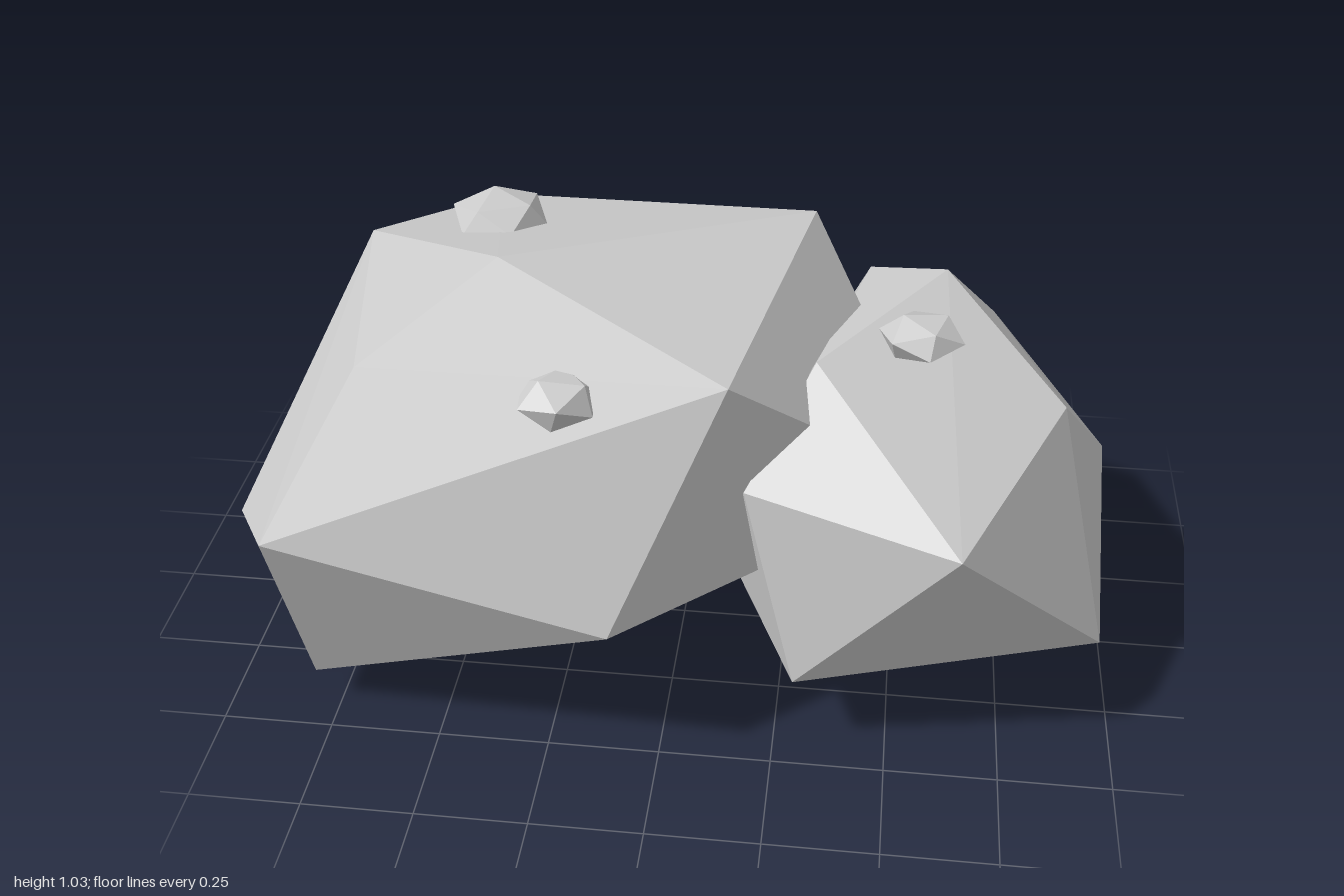
import * as THREE from 'three';
import { ConvexGeometry } from 'three/addons/geometries/ConvexGeometry.js';

const material = new THREE.MeshStandardMaterial({ color: 0xcccccc, flatShading: true });

// A faceted boulder is the hull of a few corner points.
function boulder(name, corners) {
  const geometry = new ConvexGeometry(corners.map(c => new THREE.Vector3(...c)));
  const mesh = new THREE.Mesh(geometry, material);
  mesh.name = name;
  return mesh;
}

// A pebble is a squashed icosahedron resting on a boulder.
function pebble(name, position, radii, turn) {
  const geometry = new THREE.IcosahedronGeometry(1, 0);
  geometry.rotateX(0.55).rotateY(turn).scale(...radii);
  const mesh = new THREE.Mesh(geometry, material);
  mesh.name = name;
  mesh.position.set(...position);
  return mesh;
}

export function createModel() {
  const group = new THREE.Group();
  group.name = 'rocks';

  group.add(boulder('largeBoulder', [
    // crown
    [-0.38, 1.035, 0.14], [-0.63, 0.91, 0.41], [0.135, 0.91, 0.405],
    [0.27, 0.975, -0.27], [-0.75, 0.9, -0.2], [-0.52, 0.82, -0.58],
    // waist
    [-0.8, 0.605, 0.63], [-0.09, 0.415, 0.615], [-1, 0.38, 0.22],
    [-0.985, 0.42, -0.25], [-0.92, 0.59, -0.54], [0.36, 0.4, -0.58], [0.6, 0.46, 0.04],
    // underside
    [-0.8, 0.09, 0.42], [-0.09, 0.14, -0.03], [-0.78, 0.18, -0.535],
  ]));

  group.add(boulder('smallBoulder', [
    // crown
    [0.575, 0.86, -0.24], [0.3, 0.83, 0.15], [0.4, 0.745, -0.445],
    [0.7, 0.675, -0.385], [0.845, 0.695, 0.055],
    // waist
    [0.62, 0.645, 0.575], [0.17, 0.655, 0.4], [0.525, 0.54, -0.58],
    [0.355, 0.325, -0.635], [1, 0.31, -0.385],
    // underside
    [0.955, 0.245, 0.3], [0.29, 0.21, 0.47], [0.05, 0.24, -0.08], [0.52, 0, -0.12],
  ]));

  group.add(pebble('backPebble', [-0.45, 0.955, -0.21], [0.115, 0.052, 0.115], 0.4));
  group.add(pebble('sidePebble', [0.52, 0.85, 0.05], [0.096, 0.05, 0.09], 1.3));
  group.add(pebble('frontPebble', [-0.21, 0.872, 0.42], [0.09, 0.06, 0.085], 2.2));

  return group;
}
